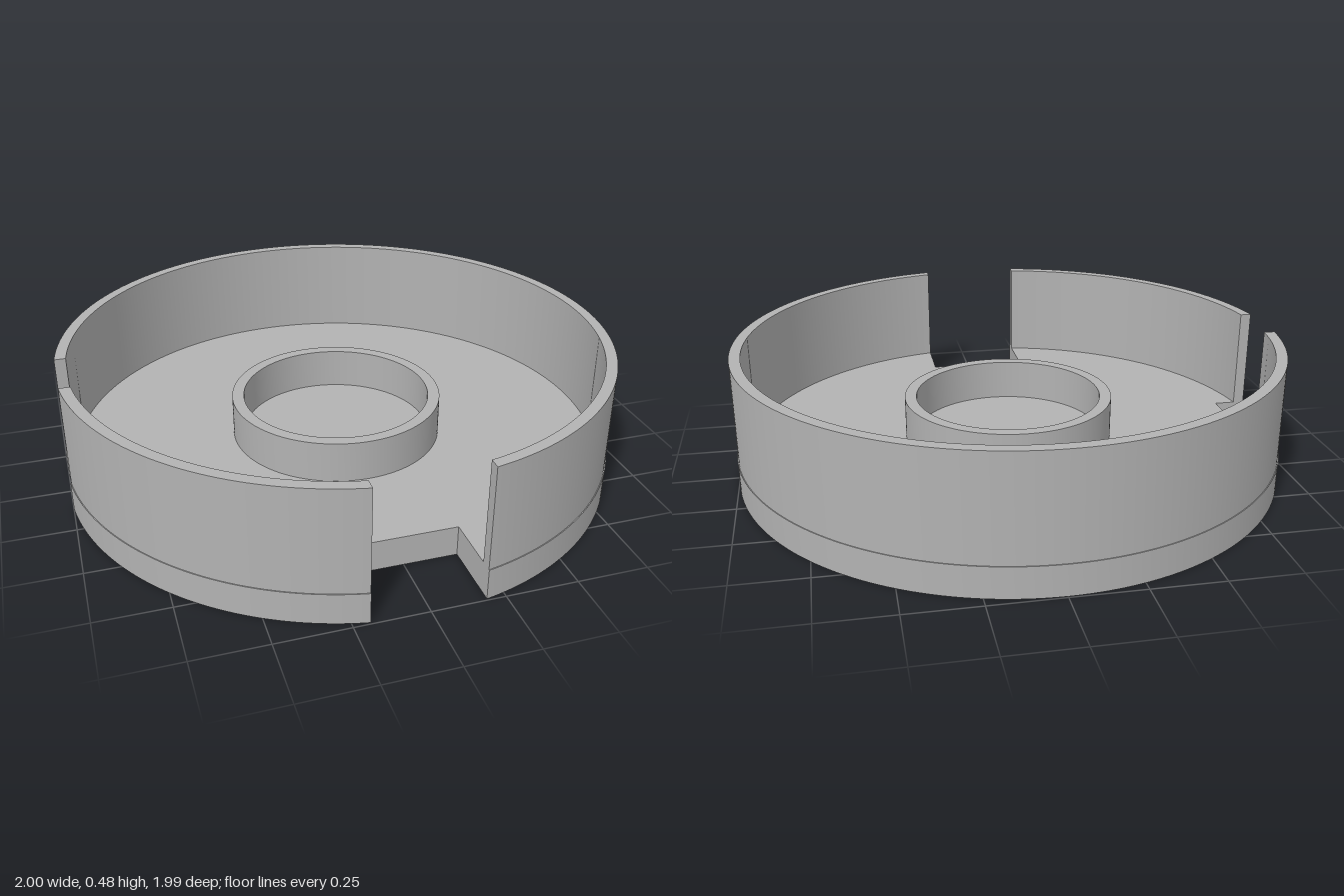
import * as THREE from 'three';
import { toCreasedNormals } from 'three/addons/utils/BufferGeometryUtils.js';

const R = 1.003, WALL_R = 1.0, WALL_IN = 0.96;
const FRONT_HALF = 0.19, FRONT_Z = 0.746;   // front notch half width and depth
const SIDE_HALF = 0.112, SIDE_X = 0.878;    // side notch half width and depth
const FLOOR = 0.11, RING_TOP = 0.26, TOP = 0.48;
const FRONT = Math.PI * 1.5, SIDE = Math.PI;

export function createModel() {
  const grey = new THREE.MeshStandardMaterial({ color: 0xb2b2b2 });
  grey.name = 'grey';
  const group = new THREE.Group();
  group.name = 'roundTray';

  // Extrudes a plan outline (shape y = -z) upward from y0 to y1
  const slab = (name, shape, y0, y1) => {
    const geo = new THREE.ExtrudeGeometry(shape, { depth: y1 - y0, bevelEnabled: false, curveSegments: 96 });
    geo.rotateX(-Math.PI / 2);
    const mesh = new THREE.Mesh(toCreasedNormals(geo, 0.5), grey);
    mesh.name = name;
    mesh.position.set(-0.003, y0, 0.009);
    group.add(mesh);
  };
  const frontGap = r => Math.asin(FRONT_HALF / r);
  const sideGap = r => Math.asin(SIDE_HALF / r);

  // Base disc with a front and a side notch
  const base = new THREE.Shape();
  base.absarc(0, 0, R, FRONT + frontGap(R), SIDE + 2 * Math.PI - sideGap(R), false);
  base.lineTo(-SIDE_X, SIDE_HALF);
  base.lineTo(-SIDE_X, -SIDE_HALF);
  base.absarc(0, 0, R, SIDE + sideGap(R), FRONT - frontGap(R), false);
  base.lineTo(-FRONT_HALF, -FRONT_Z);
  base.lineTo(FRONT_HALF, -FRONT_Z);
  base.closePath();
  slab('base', base, 0, FLOOR);

  // Outer wall in two arcs, cut parallel to the notches
  const wall = (name, start, end) => {
    const s = new THREE.Shape();
    s.absarc(0, 0, WALL_R, start(WALL_R), end(WALL_R), false);
    s.absarc(0, 0, WALL_IN, end(WALL_IN), start(WALL_IN), true);
    s.closePath();
    slab(name, s, FLOOR, TOP);
  };
  wall('longWall', r => FRONT + frontGap(r), r => SIDE + 2 * Math.PI - sideGap(r));
  wall('shortWall', r => SIDE + sideGap(r), r => FRONT - frontGap(r));

  // Central ring
  const ring = new THREE.Shape();
  ring.absarc(0, 0, 0.386, 0, Math.PI * 2, false);
  const hole = new THREE.Path();
  hole.absarc(0, 0, 0.343, 0, Math.PI * 2, true);
  ring.holes.push(hole);
  slab('centreRing', ring, FLOOR, RING_TOP);

  return group;
}
